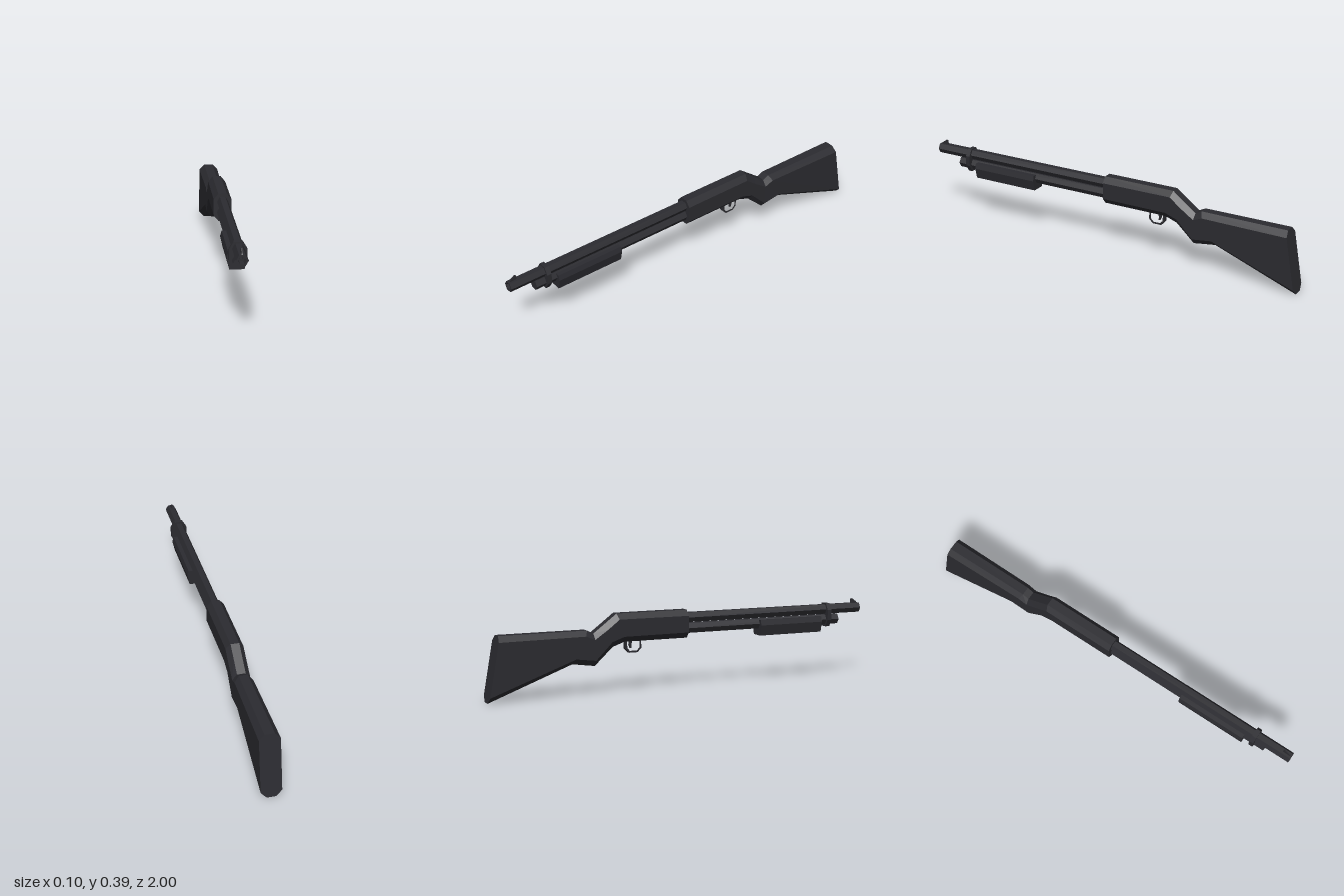
import * as THREE from 'three';

const material = new THREE.MeshStandardMaterial({ color: 0x2b2b30, flatShading: true });

const toShape = (pts) => new THREE.Shape(pts.map(([a, b]) => new THREE.Vector2(a, b)));

// Outline in x,y extruded along z from z0 to z1
function extrudeZ(pts, z0, z1) {
  const geo = new THREE.ExtrudeGeometry(toShape(pts), { depth: z1 - z0, bevelEnabled: false });
  return geo.translate(0, 0, z0);
}

// Outline in z,y extruded across x, centred on x = 0
function extrudeX(pts, width, hole) {
  const shape = toShape(pts);
  if (hole) shape.holes.push(toShape(hole));
  const geo = new THREE.ExtrudeGeometry(shape, { depth: width, bevelEnabled: false });
  return geo.rotateY(-Math.PI / 2).translate(width / 2, 0, 0);
}

// Six-sided turned part lying along z; profile is [radius, z]
function hexTurned(profile, y) {
  const pts = profile.map(([r, z]) => new THREE.Vector2(r, z));
  return new THREE.LatheGeometry(pts, 6, Math.PI / 2).rotateX(Math.PI / 2).translate(0, y, 0);
}

// Mirror the right half of an outline (bottom to top) to close it
const mirrored = (half) => [...half, ...half.slice().reverse().map(([x, y]) => [-x, y])];

// Loft of chamfered octagons; each section is [zTop, yTop, zBottom, yBottom, halfWidth]
function chamferedLoft(sections) {
  const pos = [];
  const index = [];
  const n = 8;
  for (const [zt, yt, zb, yb, w] of sections) {
    const h = Math.hypot(zt - zb, yt - yb);
    const c = 0.028 / h;
    const ring = mirrored([[w * 0.45, 0], [w, c], [w, 1 - c], [w * 0.48, 1]]);
    for (const [x, t] of ring) pos.push(x, yb + (yt - yb) * t, zb + (zt - zb) * t);
  }
  const last = (sections.length - 1) * n;
  for (let s = 0; s < last; s += n) {
    for (let j = 0; j < n; j++) {
      const k = (j + 1) % n;
      index.push(s + j, s + n + j, s + k, s + k, s + n + j, s + n + k);
    }
  }
  for (let j = 1; j < n - 1; j++) {
    index.push(0, j, j + 1, last, last + j + 1, last + j);
  }
  const geo = new THREE.BufferGeometry();
  geo.setAttribute('position', new THREE.Float32BufferAttribute(pos, 3));
  geo.setIndex(index);
  geo.computeVertexNormals();
  return geo;
}

export function createModel() {
  const group = new THREE.Group();
  const add = (name, geo) => {
    const mesh = new THREE.Mesh(geo, material);
    mesh.name = name;
    group.add(mesh);
  };

  // Receiver, grip and stock in one continuous body
  add('receiverAndStock', chamferedLoft([
    [0.01, 0.38, 0.01, 0.243, 0.043],
    [-0.36, 0.38, -0.32, 0.243, 0.043],
    [-0.42, 0.335, -0.38, 0.222, 0.043],
    [-0.478, 0.292, -0.472, 0.137, 0.043],
    [-0.51, 0.308, -0.585, 0.153, 0.044],
    [-0.945, 0.308, -1, 0, 0.049],
  ]));

  // Barrel with a recessed muzzle, and the tube below it
  add('barrel', hexTurned(
    [[0, 0], [0.027, 0], [0.027, 1], [0.018, 1], [0.018, 0.95], [0.009, 0.95], [0.009, 0.9], [0, 0.9]], 0.341));
  add('lowerTube', hexTurned([[0, 0], [0.028, 0], [0.028, 0.87], [0, 0.87]], 0.289));

  // Sliding fore-end
  add('foreEnd', extrudeZ(
    mirrored([[0.033, 0.23], [0.045, 0.282], [0.038, 0.308]]), 0.41, 0.76));

  // Band joining barrel and tube
  add('barrelBand', extrudeZ(
    mirrored([[0.02, 0.253], [0.04, 0.288], [0.04, 0.338], [0.02, 0.371]]), 0.797, 0.819));

  // Front sight
  add('frontSight', extrudeX(
    [[0.995, 0.36], [0.99, 0.37], [0.966, 0.387], [0.958, 0.385], [0.955, 0.36]], 0.006));

  // Trigger guard and trigger
  add('triggerGuard', extrudeX(
    [[-0.228, 0.25], [-0.228, 0.207], [-0.247, 0.187], [-0.292, 0.187], [-0.31, 0.207], [-0.31, 0.25]],
    0.022,
    [[-0.237, 0.244], [-0.237, 0.211], [-0.251, 0.196], [-0.288, 0.196], [-0.301, 0.211], [-0.301, 0.244]]));
  add('trigger', extrudeX(
    [[-0.27, 0.25], [-0.277, 0.225], [-0.276, 0.208], [-0.283, 0.208], [-0.289, 0.226], [-0.287, 0.25]], 0.01));

  return group;
}
